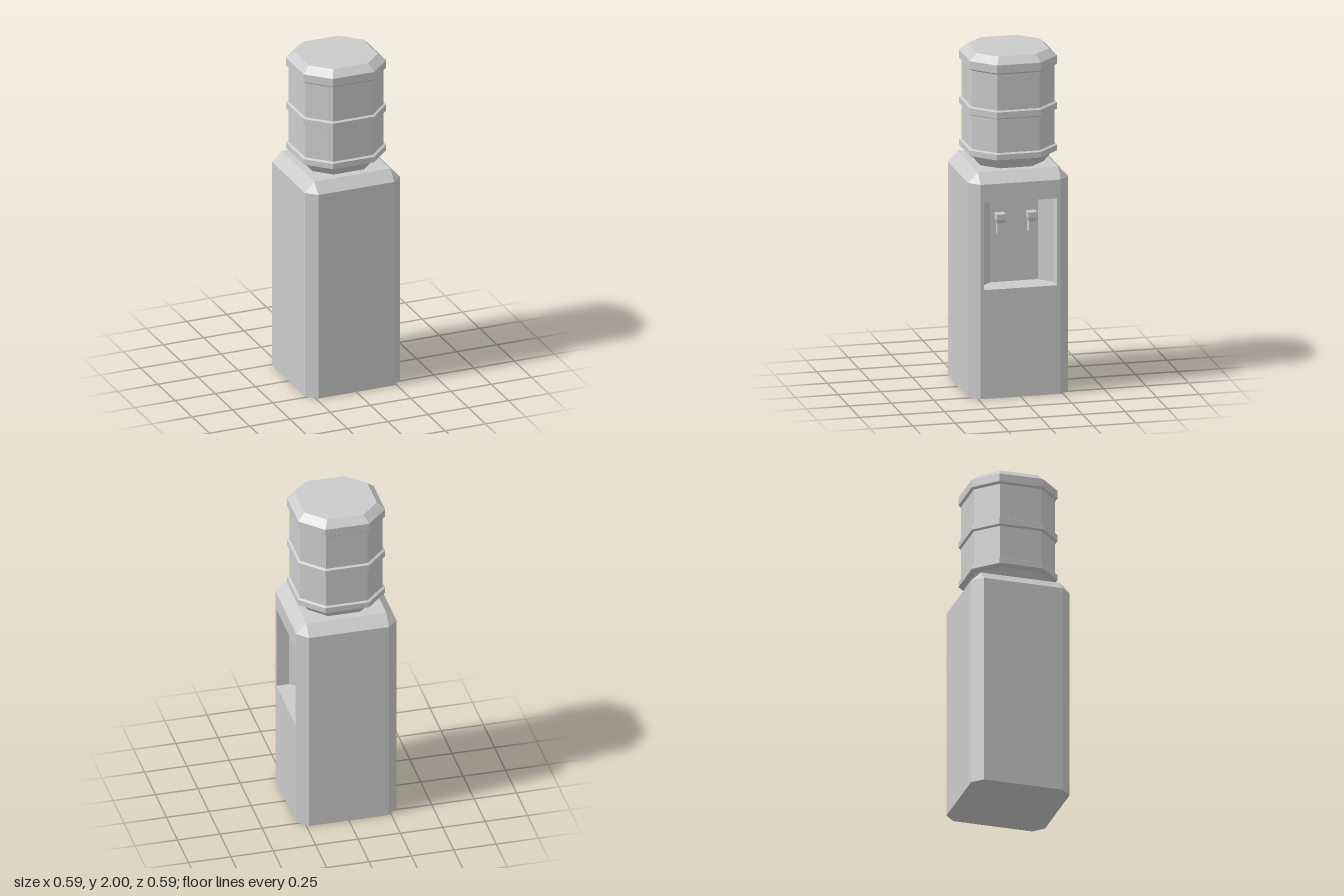
import * as THREE from 'three';

const material = new THREE.MeshStandardMaterial({ color: 0xcccccc, flatShading: true });

// Square of half-size h whose corners are cut from c to h, running +z, +x, -z, -x
const ring = (y, h, c) =>
  [[-c, h], [c, h], [h, c], [h, -c], [c, -h], [-c, -h], [-h, -c], [-h, c]]
    .map(([x, z]) => [x, y, z]);

// Convex polygon, counter-clockwise from its visible side
function polygon(out, pts) {
  for (let i = 1; i < pts.length - 1; i++) out.push(...pts[0], ...pts[i], ...pts[i + 1]);
}

// Joins rings from bottom to top; one side of the first band may be left open
function loft(out, rings, openSide = -1) {
  for (let k = 0; k < rings.length - 1; k++) {
    const a = rings[k], b = rings[k + 1];
    for (let i = 0; i < a.length; i++) {
      if (k === 0 && i === openSide) continue;
      const j = (i + 1) % a.length;
      polygon(out, [a[i], a[j], b[j], b[i]]);
    }
  }
  polygon(out, [...rings[0]].reverse());
  polygon(out, rings[rings.length - 1]);
}

function makeMesh(name, positions) {
  const geometry = new THREE.BufferGeometry();
  geometry.setAttribute('position', new THREE.Float32BufferAttribute(positions, 3));
  geometry.computeVertexNormals();
  const mesh = new THREE.Mesh(geometry, material);
  mesh.name = name;
  return mesh;
}

const H = 0.295, C = 0.236, SHOULDER = 1.27, BODY_TOP = 1.33;
const FLOOR = 0.645, OPEN_TOP = 1.16, OPEN_Z = 0.215, BACK_X = 0.14, BACK_TOP = 1.135;

// Cabinet shell with a framed opening in its +x side
function createCabinet() {
  const out = [];
  loft(out, [ring(0, H, C), ring(SHOULDER, H, C), ring(BODY_TOP, C, C)], 2);
  const frame = (z, y0, y1) => [[H, y0, z], [H, y0, -z], [H, y1, -z], [H, y1, z]];
  const outer = frame(C, 0, SHOULDER), inner = frame(OPEN_Z, FLOOR, OPEN_TOP);
  for (let i = 0; i < 4; i++) {
    const j = (i + 1) % 4;
    polygon(out, [outer[i], outer[j], inner[j], inner[i]]);
  }
  return makeMesh('cabinet', out);
}

// Recess with angled back corners and a sloping ceiling
function createAlcove() {
  const out = [];
  const plan = [[H, OPEN_Z], [0.22, OPEN_Z], [BACK_X, 0.14],
    [BACK_X, -0.14], [0.22, -OPEN_Z], [H, -OPEN_Z]];
  const slope = (OPEN_TOP - BACK_TOP) / (H - BACK_X);
  const low = plan.map(([x, z]) => [x, FLOOR, z]);
  const high = plan.map(([x, z]) => [x, BACK_TOP + (x - BACK_X) * slope, z]);
  for (let i = 0; i < plan.length - 1; i++) {
    polygon(out, [low[i], low[i + 1], high[i + 1], high[i]]);
  }
  polygon(out, [...low].reverse());
  polygon(out, high);
  return makeMesh('alcove', out);
}

// Tap: flared spout on a short stem from the back wall
function createTap(name, z) {
  const tap = new THREE.Group();
  tap.name = name;
  const out = [];
  loft(out, [[0.95, 0.021], [1.01, 0.021], [1.03, 0.027], [1.065, 0.027]]
    .map(([y, h]) => ring(y, h, h * 0.95)));
  const spout = makeMesh('spout', out);
  spout.position.x = 0.19;
  const stem = new THREE.Mesh(new THREE.BoxGeometry(0.05, 0.03, 0.026), material);
  stem.name = 'stem';
  stem.position.set(0.158, 1.0, 0);
  tap.add(spout, stem);
  tap.position.z = z;
  return tap;
}

// Bottle: neck, ribbed eight-sided barrel and bevelled lid
function createBottle() {
  const wall = 0.243, rib = 0.256;
  const profile = [[1.325, 0.183], [1.385, 0.228], [1.39, wall]];
  for (const [y0, y1] of [[1.39, 1.437], [1.637, 1.688]]) {
    profile.push([y0 + 0.007, rib], [y1 - 0.007, rib], [y1, wall]);
    profile.push([y1 < 1.5 ? 1.637 : 1.902, wall]);
  }
  profile.push([1.912, rib], [1.96, rib], [2.0, 0.213]);
  const out = [];
  loft(out, profile.map(([y, h]) => ring(y, h, h * 0.505)));
  return makeMesh('bottle', out);
}

export function createModel() {
  const group = new THREE.Group();
  group.name = 'waterDispenser';
  group.add(createCabinet(), createAlcove(), createBottle());
  group.add(createTap('leftTap', 0.094), createTap('rightTap', -0.091));
  return group;
}
